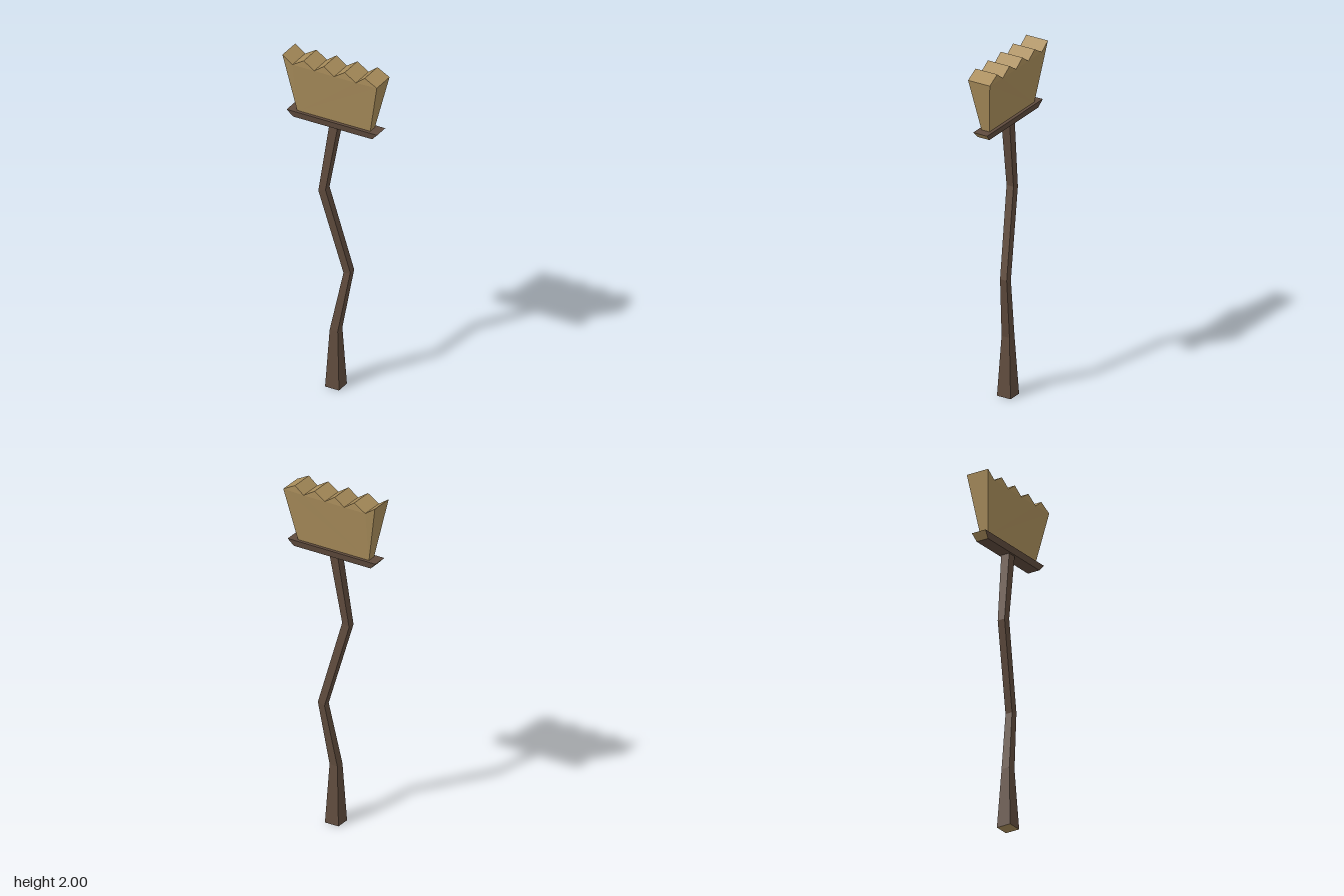
import * as THREE from 'three';

const wood = new THREE.MeshStandardMaterial({ color: 0x5f4b3d, flatShading: true });
wood.name = 'dark wood';
const straw = new THREE.MeshStandardMaterial({ color: 0xa98d5b, flatShading: true });
straw.name = 'straw';

// Moves every vertex of a geometry by a rule
function reshape(geometry, rule) {
  const pos = geometry.attributes.position;
  const v = new THREE.Vector3();
  for (let i = 0; i < pos.count; i++) {
    v.fromBufferAttribute(pos, i);
    rule(v);
    pos.setXYZ(i, v.x, v.y, v.z);
  }
  geometry.computeVertexNormals();
  return geometry;
}

function addMesh(group, name, geometry, material) {
  const mesh = new THREE.Mesh(geometry, material);
  mesh.name = name;
  group.add(mesh);
}

export function createModel() {
  const model = new THREE.Group();
  model.name = 'broom';

  // Crooked square handle: centre, half width and sideways tilt of each joint
  const joints = [
    { x: 0, y: 0, z: 0, half: 0.043, tilt: 0 },
    { x: 0, y: 0.35, z: 0, half: 0.025, tilt: 0.002 },
    { x: 0.065, y: 0.713, z: -0.025, half: 0.021, tilt: 0.006 },
    { x: -0.066, y: 1.208, z: 0.015, half: 0.022, tilt: 0.008 },
    { x: 0, y: 1.625, z: 0, half: 0.026, tilt: 0 },
  ];
  const handle = reshape(new THREE.BoxGeometry(2, 1, 2, 1, joints.length - 1, 1), (v) => {
    const j = joints[Math.round((v.y + 0.5) * (joints.length - 1))];
    v.set(j.x + v.x * j.half, j.y + v.x * j.tilt, j.z + v.z * j.half);
  });
  addMesh(model, 'handle', handle, [wood, wood, wood, straw, wood, wood]);

  // Crossbar with undercut, bare-cut ends
  const bar = reshape(new THREE.BoxGeometry(2, 2, 2), (v) => {
    const top = v.y > 0;
    v.set(v.x * (top ? 0.28 : 0.245), top ? 1.652 : 1.614, v.z * (top ? 0.044 : 0.037));
  });
  addMesh(model, 'crossbar', bar, [straw, straw, wood, wood, wood, wood]);

  // Bristle block: zigzag outline, fanning out in depth towards the top
  const outline = [
    [-0.225, 1.645], [0.225, 1.645], [0.292, 1.96], [0.217, 2], [0.163, 1.956], [0.093, 2],
    [0.028, 1.956], [-0.036, 2], [-0.096, 1.956], [-0.16, 2], [-0.23, 1.956], [-0.292, 2],
  ];
  const shape = new THREE.Shape(outline.map(([x, y]) => new THREE.Vector2(x, y)));
  const bristles = reshape(new THREE.ExtrudeGeometry(shape, { depth: 1, bevelEnabled: false }), (v) => {
    const t = Math.min(1, (v.y - 1.645) / 0.311);
    v.z = (v.z - 0.5) * 2 * THREE.MathUtils.lerp(0.024, 0.069, t);
  });
  addMesh(model, 'bristles', bristles, straw);

  return model;
}
